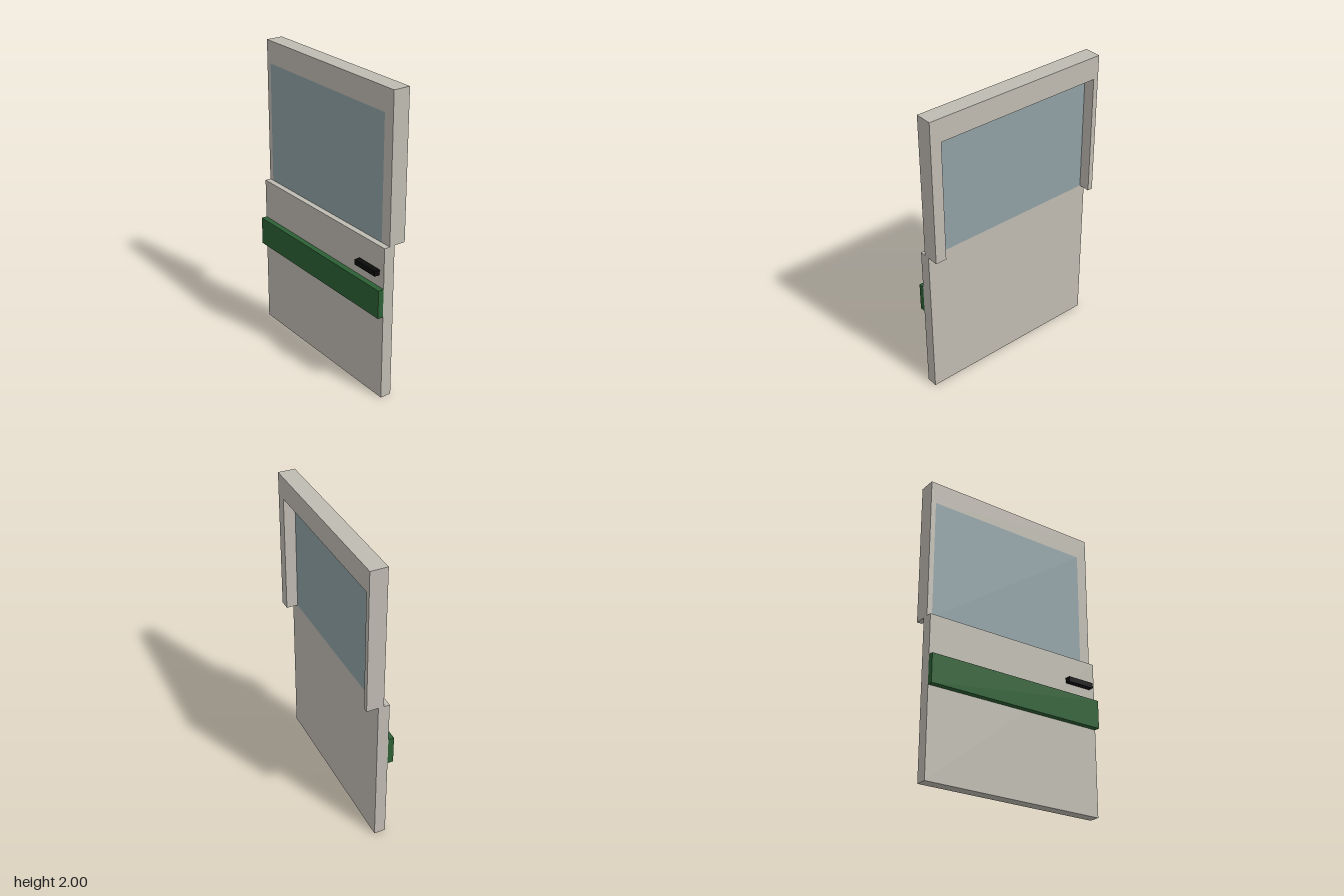
import * as THREE from 'three';

const paint = (name, color) => {
  const m = new THREE.MeshStandardMaterial({ color });
  m.name = name;
  return m;
};

export function createModel() {
  const door = new THREE.Group();
  door.name = 'door';
  const body = paint('warm grey', 0xbfbbb2);
  const glass = paint('blue grey glass', 0x8fa0a5);
  const green = paint('green', 0x2c6034);
  const black = paint('black', 0x0b0b0b);

  // Box given by its lower and upper corners
  const slab = (name, material, [x0, y0, z0], [x1, y1, z1]) => {
    const mesh = new THREE.Mesh(new THREE.BoxGeometry(x1 - x0, y1 - y0, z1 - z0), material);
    mesh.position.set((x0 + x1) / 2, (y0 + y1) / 2, (z0 + z1) / 2);
    mesh.name = name;
    door.add(mesh);
  };

  const half = 0.635, sill = 1.04, top = 2;
  const winLeft = 0.56, winRight = -0.6, winTop = 1.85;
  const frameBack = -0.095, frameFront = 0.018, panelBack = -0.018, panelFront = 0.057;

  // Lower panel
  slab('lowerPanel', body, [-half, 0, panelBack], [half, sill, panelFront]);

  // Window frame, open at the sill
  const outline = new THREE.Shape([
    [-half, sill], [winRight, sill], [winRight, winTop], [winLeft, winTop],
    [winLeft, sill], [half, sill], [half, top], [-half, top],
  ].map(([x, y]) => new THREE.Vector2(x, y)));
  const frame = new THREE.Mesh(
    new THREE.ExtrudeGeometry(outline, { depth: frameFront - frameBack, bevelEnabled: false }), body);
  frame.position.z = frameBack;
  frame.name = 'windowFrame';
  door.add(frame);

  // Pane, flush with the front of the frame and the back of the panel
  slab('windowPane', glass, [winRight, sill, panelBack], [winLeft, winTop, frameFront]);

  // Trim strip and handle
  slab('trimStrip', green, [-half, 0.58, panelFront], [half, 0.77, 0.095]);
  slab('handle', black, [0.4, 0.85, panelFront], [0.595, 0.885, 0.095]);

  return door;
}
